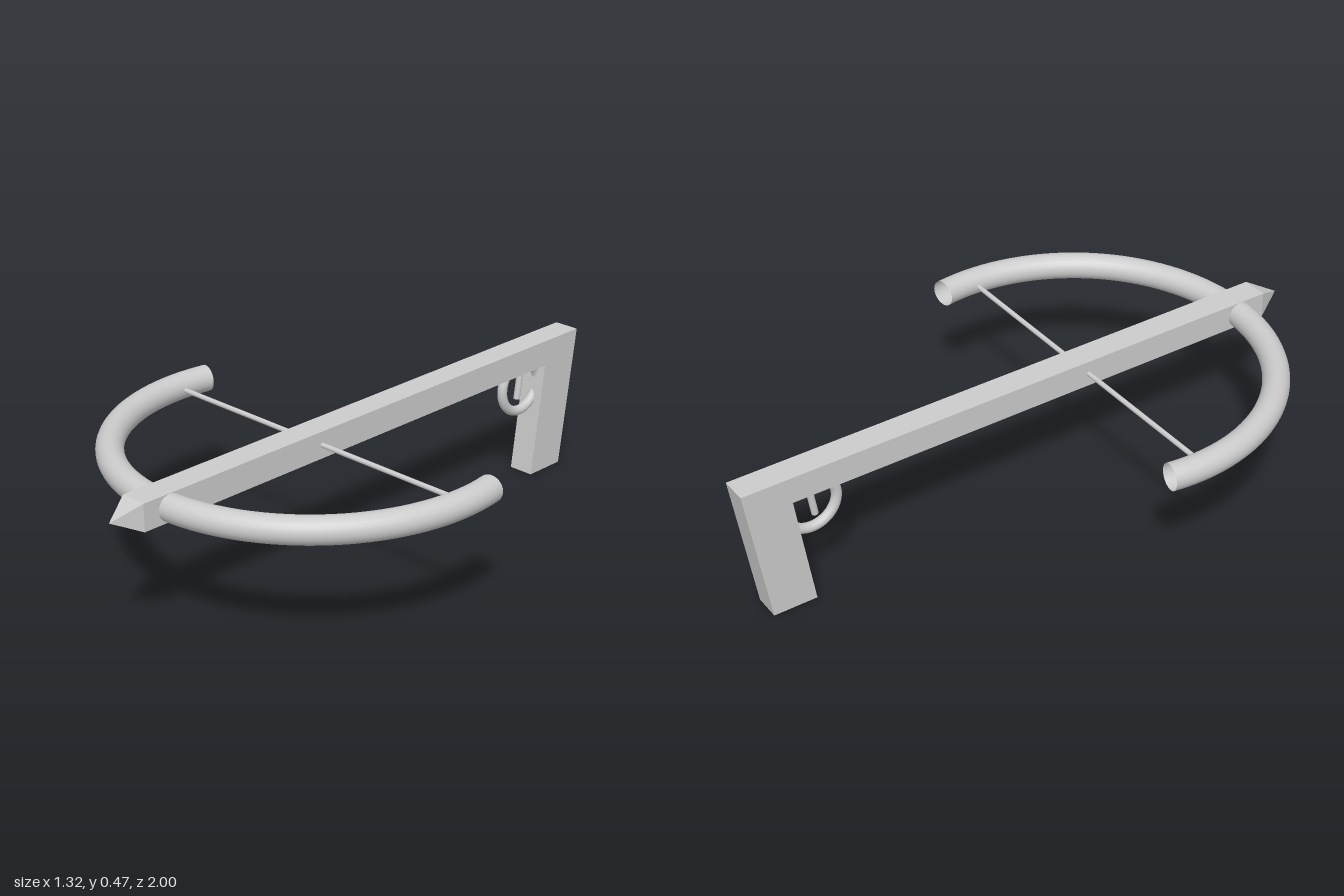
import * as THREE from 'three';

export function createModel() {
  const group = new THREE.Group();
  const material = new THREE.MeshStandardMaterial({ color: 0xcccccc });
  const openMaterial = new THREE.MeshStandardMaterial({ color: 0xcccccc, side: THREE.DoubleSide });
  const half = 0.044; // half width of the stock
  const axisY = 0.426; // height of the stock's centre line

  const add = (name, geometry, mat = material) => {
    const mesh = new THREE.Mesh(geometry, mat);
    mesh.name = name;
    group.add(mesh);
    return mesh;
  };

  // Stock and slanted grip: one side profile (z, y), extruded across x
  const profile = new THREE.Shape([
    [0.91, axisY - half], [0.91, axisY + half], [-1, axisY + half],
    [-0.93, 0], [-0.783, 0], [-0.838, axisY - half],
  ].map(([z, y]) => new THREE.Vector2(z, y)));
  const stock = new THREE.ExtrudeGeometry(profile, { depth: 2 * half, bevelEnabled: false });
  stock.translate(0, 0, -half).rotateY(-Math.PI / 2);
  add('stockAndGrip', stock);

  // Pyramid point at the front
  const tip = new THREE.ConeGeometry(half * Math.SQRT2, 0.09, 4).toNonIndexed();
  tip.rotateY(Math.PI / 4).rotateX(Math.PI / 2);
  tip.computeVertexNormals();
  add('tip', tip).position.set(0, axisY, 0.955);

  // Bow: open-ended tube bent through 200 degrees
  const bow = new THREE.TorusGeometry(0.615, 0.043, 24, 64, THREE.MathUtils.degToRad(200));
  bow.rotateZ(THREE.MathUtils.degToRad(-10)).rotateX(Math.PI / 2);
  add('bow', bow, openMaterial).position.set(0, axisY, 0.2);

  // String between the bow arms
  const string = new THREE.CylinderGeometry(0.008, 0.008, 1.2, 16).rotateZ(Math.PI / 2);
  add('string', string).position.set(0, axisY, 0.212);

  // Trigger guard ring
  const guard = new THREE.TorusGeometry(0.088, 0.0165, 16, 48).rotateY(Math.PI / 2);
  add('triggerGuard', guard).position.set(0, 0.321, -0.76);

  // Trigger, leaning forward at its lower end
  const trigger = add('trigger', new THREE.CylinderGeometry(0.011, 0.011, 0.13, 16));
  trigger.position.set(0, 0.341, -0.757);
  trigger.rotation.x = -0.15;

  return group;
}
